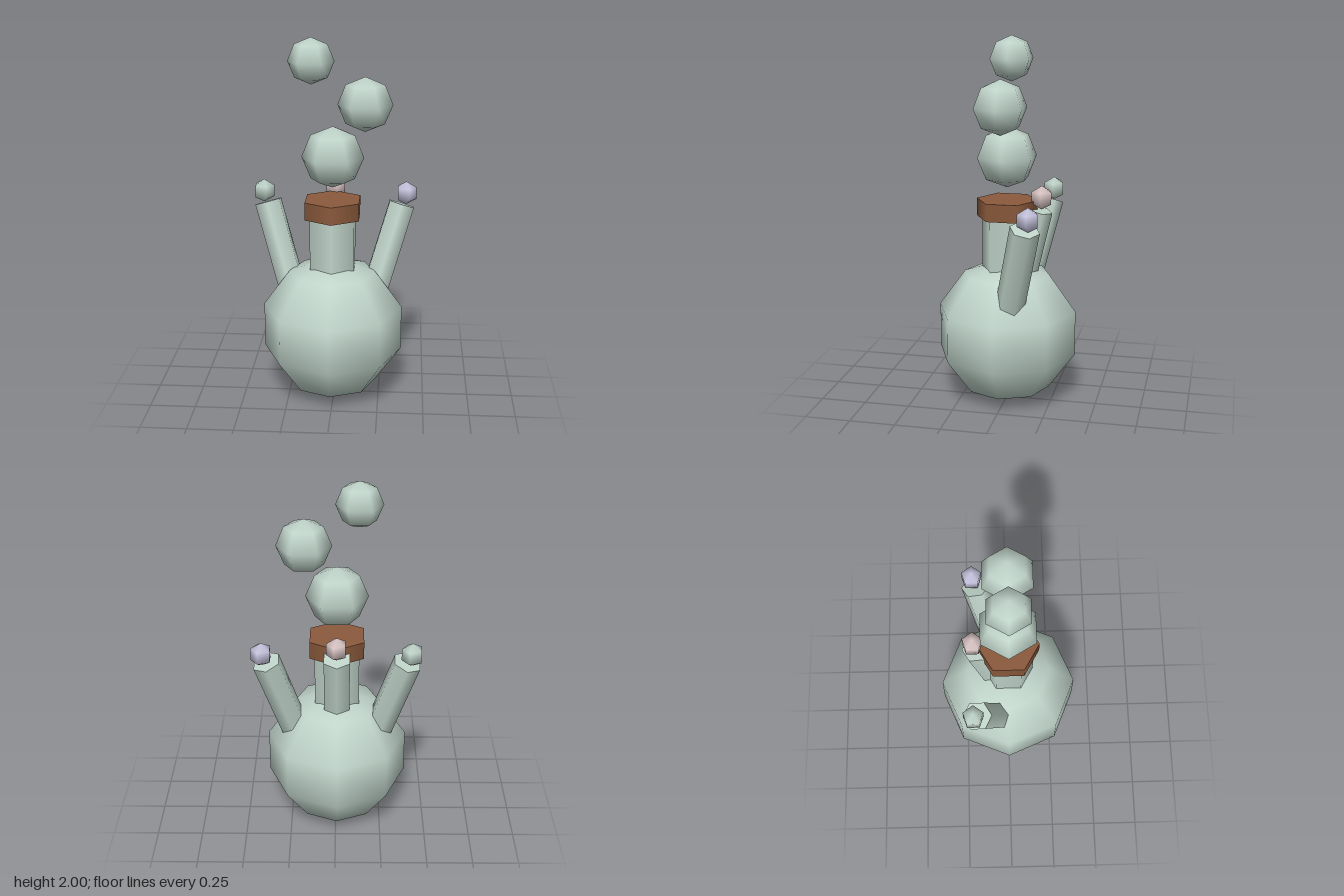
import * as THREE from 'three';

const paint = (name, color) => {
  const m = new THREE.MeshStandardMaterial({ color });
  m.name = name;
  return m;
};

export function createModel() {
  const glass = paint('pale green', 0xc0d4ca);
  const wood = paint('brown', 0x8b5a3c);
  const pink = paint('pale pink', 0xd9c4c4);
  const lilac = paint('pale lilac', 0xc6c4de);

  const model = new THREE.Group();
  model.name = 'bubblingFlask';
  const CX = -0.0075; // flask axis

  const add = (name, geometry, material, x, y, z) => {
    const mesh = new THREE.Mesh(geometry, material);
    mesh.name = name;
    mesh.position.set(x, y, z);
    model.add(mesh);
    return mesh;
  };

  // Round body, neck and collar
  add('body', new THREE.SphereGeometry(0.4, 8, 5), glass, CX, 0.4, 0);
  add('neck', new THREE.CylinderGeometry(0.138, 0.138, 0.4, 6), glass, CX, 0.87, 0);
  add('collar', new THREE.CylinderGeometry(0.167, 0.167, 0.097, 6), wood, CX, 1.0865, 0);

  // Rising bubbles
  [[CX, 1.367, 0.167], [0.163, 1.652, 0.146], [-0.121, 1.877, 0.123]].forEach(([x, y, r], i) =>
    add(`bubble${i + 1}`, new THREE.SphereGeometry(r, 6, 4), glass, x, y, 0));

  // Leaning spouts, each with a small droplet floating over its mouth
  const UP = new THREE.Vector3(0, 1, 0);
  const spout = (side, sx, topY, dropY, material) => {
    const dir = new THREE.Vector3(sx * 0.3, 1, -0.23).normalize();
    const length = 0.56;
    const top = new THREE.Vector3(CX + sx * 0.37, topY, -0.17);
    const mid = top.clone().addScaledVector(dir, -length / 2);
    add(`${side}Spout`, new THREE.CylinderGeometry(0.079, 0.079, length, 6), glass, mid.x, mid.y, mid.z)
      .quaternion.setFromUnitVectors(UP, dir);
    add(`${side}Droplet`, new THREE.SphereGeometry(0.065, 5, 3), material, CX + sx * 0.394, dropY, -0.19)
      .rotation.y = Math.PI;
  };
  spout('left', 1, 1.065, 1.122, lilac);
  spout('right', -1, 1.065, 1.122, glass);
  spout('back', 0, 1.085, 1.152, pink);

  return model;
}
